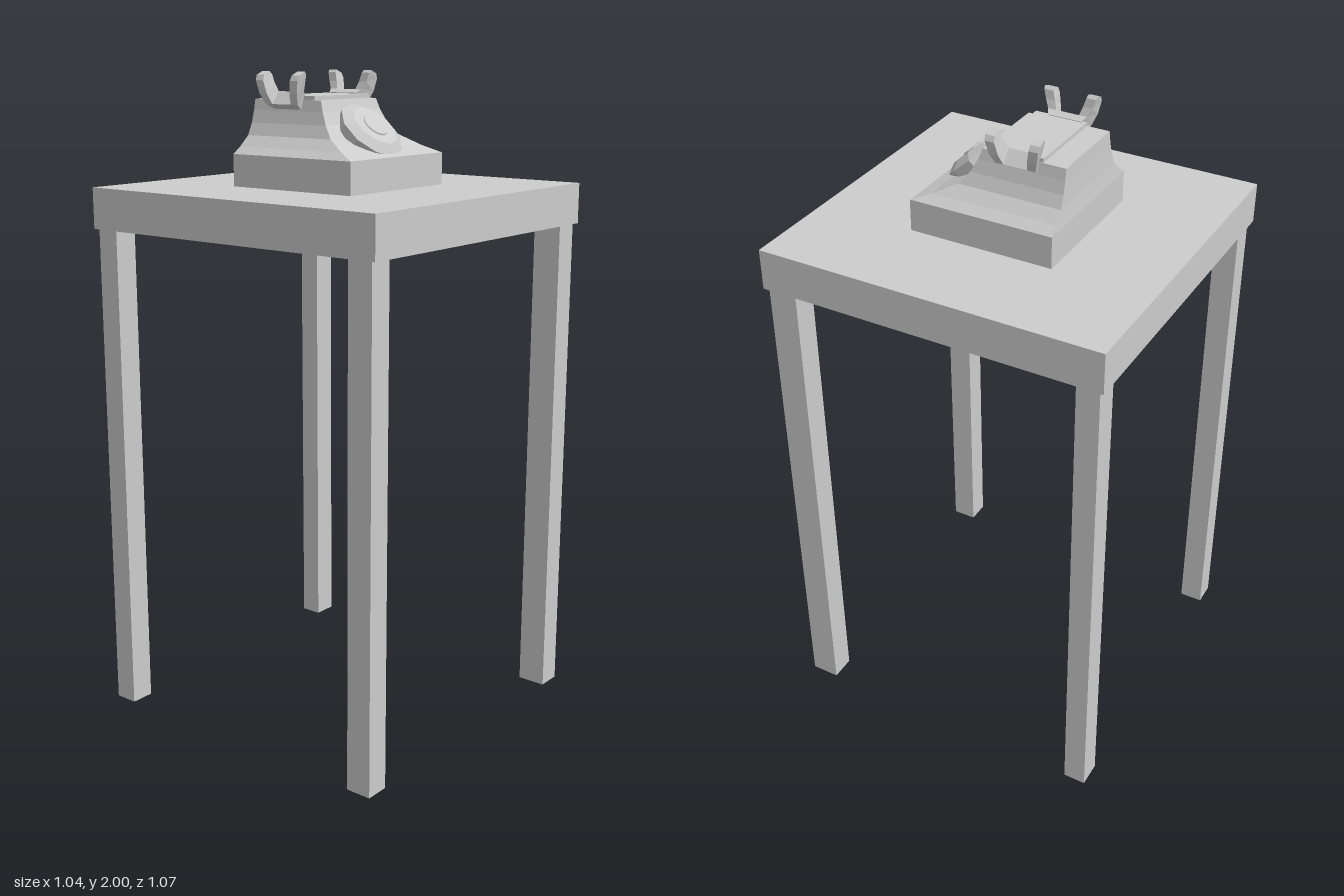
import * as THREE from 'three';

const grey = new THREE.MeshStandardMaterial({ color: 0xcccccc });
grey.name = 'light grey';

// Skin a list of equal-length loops (counter-clockwise seen from the end) with flat faces and caps.
function loft(loops) {
  const pos = [];
  const tri = (...pts) => pts.forEach((p) => pos.push(...p));
  const n = loops[0].length;
  for (let k = 0; k < loops.length - 1; k++) {
    const a = loops[k], b = loops[k + 1];
    for (let i = 0; i < n; i++) {
      const j = (i + 1) % n;
      tri(a[i], a[j], b[j]);
      tri(a[i], b[j], b[i]);
    }
  }
  const first = loops[0], last = loops[loops.length - 1];
  for (let i = 1; i < n - 1; i++) {
    tri(first[0], first[i + 1], first[i]);
    tri(last[0], last[i], last[i + 1]);
  }
  const geo = new THREE.BufferGeometry();
  geo.setAttribute('position', new THREE.Float32BufferAttribute(pos, 3));
  geo.computeVertexNormals();
  return geo;
}

function add(parent, name, geo) {
  const mesh = new THREE.Mesh(geo, grey);
  mesh.name = name;
  parent.add(mesh);
  return mesh;
}

// Box given by its limits on each axis.
function box(parent, name, x0, x1, y0, y1, z0, z1) {
  const mesh = add(parent, name, new THREE.BoxGeometry(x1 - x0, y1 - y0, z1 - z0));
  mesh.position.set((x0 + x1) / 2, (y0 + y1) / 2, (z0 + z1) / 2);
}

// Faceted cylinder without smoothing between its sides.
function faceted(rTop, rBottom, height, sides, y) {
  const geo = new THREE.CylinderGeometry(rTop, rBottom, height, sides).translate(0, y, 0).toNonIndexed();
  geo.computeVertexNormals();
  return geo;
}

export function createModel() {
  const model = new THREE.Group();
  model.name = 'telephoneOnTable';

  // Table
  const table = new THREE.Group();
  table.name = 'table';
  model.add(table);
  box(table, 'tableTop', -0.52, 0.52, 1.535, 1.66, -0.535, 0.535);
  box(table, 'frontRightLeg', -0.513, -0.438, 0, 1.535, 0.44, 0.52);
  box(table, 'frontLeftLeg', 0.43, 0.508, 0, 1.535, 0.434, 0.524);
  box(table, 'backRightLeg', -0.513, -0.438, 0, 1.535, -0.52, -0.446);
  box(table, 'backLeftLeg', 0.43, 0.508, 0, 1.535, -0.52, -0.45);

  // Telephone
  const phone = new THREE.Group();
  phone.name = 'telephone';
  phone.position.x = -0.006;
  model.add(phone);
  box(phone, 'phoneBase', -0.225, 0.225, 1.66, 1.757, -0.225, 0.225);

  // Body: concave flanks and sloping front, nearly upright back
  const profile = [[1.757, 0.225], [1.778, 0.197], [1.81, 0.164], [1.847, 0.148], [1.885, 0.138], [1.918, 0.132]];
  add(phone, 'phoneBody', loft(profile.map(([y, hx]) => {
    const t = (0.225 - hx) / 0.093;
    const front = 0.223 - 0.183 * t, back = -0.225 + 0.008 * t;
    return [[hx, y, front], [hx, y, back], [-hx, y, back], [-hx, y, front]];
  })));

  // Dial: skirt, bevelled ring and small hub on the sloping front
  const dial = new THREE.Group();
  dial.name = 'dial';
  dial.position.set(0, 1.831, 0.128);
  dial.rotation.x = 0.735;
  phone.add(dial);
  add(dial, 'dialSkirt', faceted(0.108, 0.1, 0.04, 10, -0.02));
  add(dial, 'dialRing', faceted(0.077, 0.108, 0.018, 10, 0.009));
  add(dial, 'dialHub', faceted(0.04, 0.042, 0.004, 12, 0.02));

  // Cradle: plate, side bars and four curved horns
  const cradle = new THREE.Group();
  cradle.name = 'cradle';
  cradle.position.z = -0.081;
  phone.add(cradle);
  box(cradle, 'cradlePlate', -0.13, 0.13, 1.9, 1.93, -0.066, 0.096);

  // Each section: outer x, y, inner x, y, near z, far z
  const horn = [
    [0.14, 1.89, 0.12, 1.932, 0.02, 0.052],
    [0.168, 1.905, 0.138, 1.942, 0.036, 0.062],
    [0.183, 1.935, 0.146, 1.965, 0.044, 0.073],
    [0.19, 1.974, 0.15, 1.992, 0.052, 0.081],
    [0.183, 1.99, 0.158, 2.0, 0.054, 0.083],
  ];
  for (const sx of [1, -1]) {
    const section = ([ox, oy, ix, iy], zFront, zBack) => {
      const loop = [[ox, oy, zFront], [ox, oy, zBack], [ix, iy, zBack], [ix, iy, zFront]];
      return sx > 0 ? loop : loop.map(([x, y, z]) => [-x, y, z]).reverse();
    };
    const side = sx > 0 ? 'left' : 'right';
    add(cradle, side + 'CradleBar', loft([section(horn[0], 0.052, -0.052), section(horn[1], 0.05, -0.05)]));
    add(cradle, side + 'FrontHorn', loft(horn.map((s) => section(s, s[5], s[4]))));
    add(cradle, side + 'BackHorn', loft(horn.map((s) => section(s, -s[4], -s[5]))));
  }
  return model;
}
